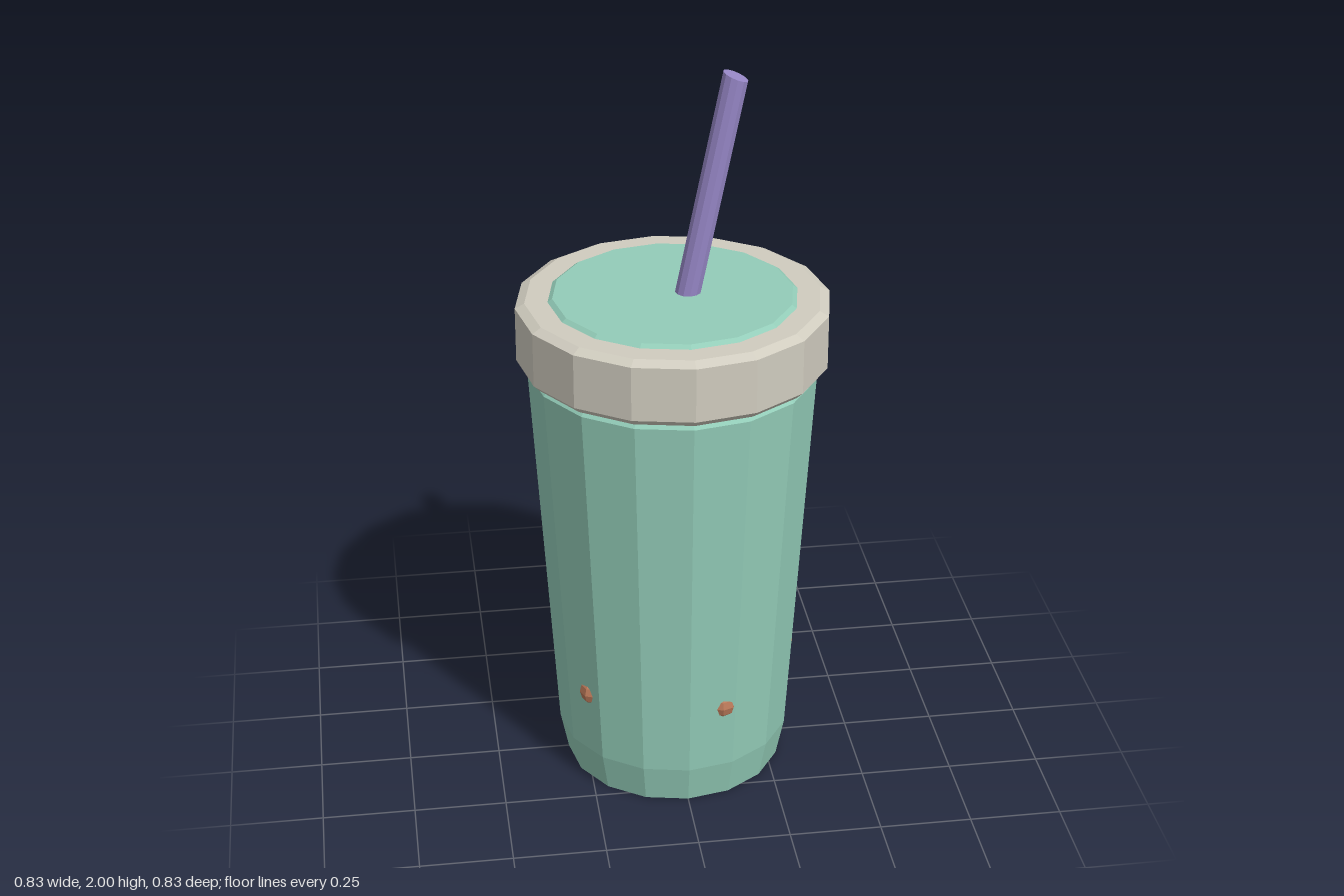
import * as THREE from 'three';

const SIDES = 16;

function material(name, color) {
  return new THREE.MeshStandardMaterial({ name, color, flatShading: true });
}

// Faceted ring of revolution from [radius, height] pairs, bottom to top
function lathe(name, profile, mat) {
  const points = profile.map(([r, y]) => new THREE.Vector2(r, y));
  const mesh = new THREE.Mesh(new THREE.LatheGeometry(points, SIDES), mat);
  mesh.name = name;
  return mesh;
}

export function createModel() {
  const green = material('mint green', 0x93ccb8);
  const beige = material('warm beige', 0xd0ccbf);
  const purple = material('soft purple', 0x9888c8);
  const brown = material('pearl brown', 0xbc7a5a);

  const model = new THREE.Group();
  model.name = 'drinkCup';

  // Tapered cup with bevelled foot, shoulder and raised top
  model.add(lathe('cup', [
    [0, 0], [0.3, 0], [0.322, 0.11], [0.387, 1.195], [0.365, 1.22],
    [0.34, 1.385], [0.317, 1.402], [0, 1.402],
  ], green));

  // Lid rim around the top
  model.add(lathe('lidRim', [
    [0.34, 1.213], [0.396, 1.213], [0.415, 1.232],
    [0.415, 1.38], [0.39, 1.393], [0.325, 1.393],
  ], beige));

  // Leaning straw: each end is a slanted oval
  const strawGeometry = new THREE.CylinderGeometry(1, 1, 1, 12);
  const p = strawGeometry.attributes.position;
  for (let i = 0; i < p.count; i++) {
    const x = p.getX(i);
    const top = p.getY(i) > 0;
    p.setXYZ(i,
      (top ? 0.1585 : -0.002) + 0.032 * x,
      (top ? 1.987 : 1.2) - 0.013 * x,
      0.036 * p.getZ(i));
  }
  strawGeometry.computeVertexNormals();
  const straw = new THREE.Mesh(strawGeometry, purple);
  straw.name = 'straw';
  model.add(straw);

  // Five pearls pressing through the lower wall
  const pearls = new THREE.Group();
  pearls.name = 'pearls';
  const pearlGeometry = new THREE.SphereGeometry(0.04, 8, 6);
  for (let i = 0; i < 5; i++) {
    const angle = (i / 5) * Math.PI * 2;
    const pearl = new THREE.Mesh(pearlGeometry, brown);
    pearl.name = 'pearl';
    pearl.position.set(0.3 * Math.cos(angle), 0.3, 0.3 * Math.sin(angle));
    pearls.add(pearl);
  }
  model.add(pearls);

  return model;
}
